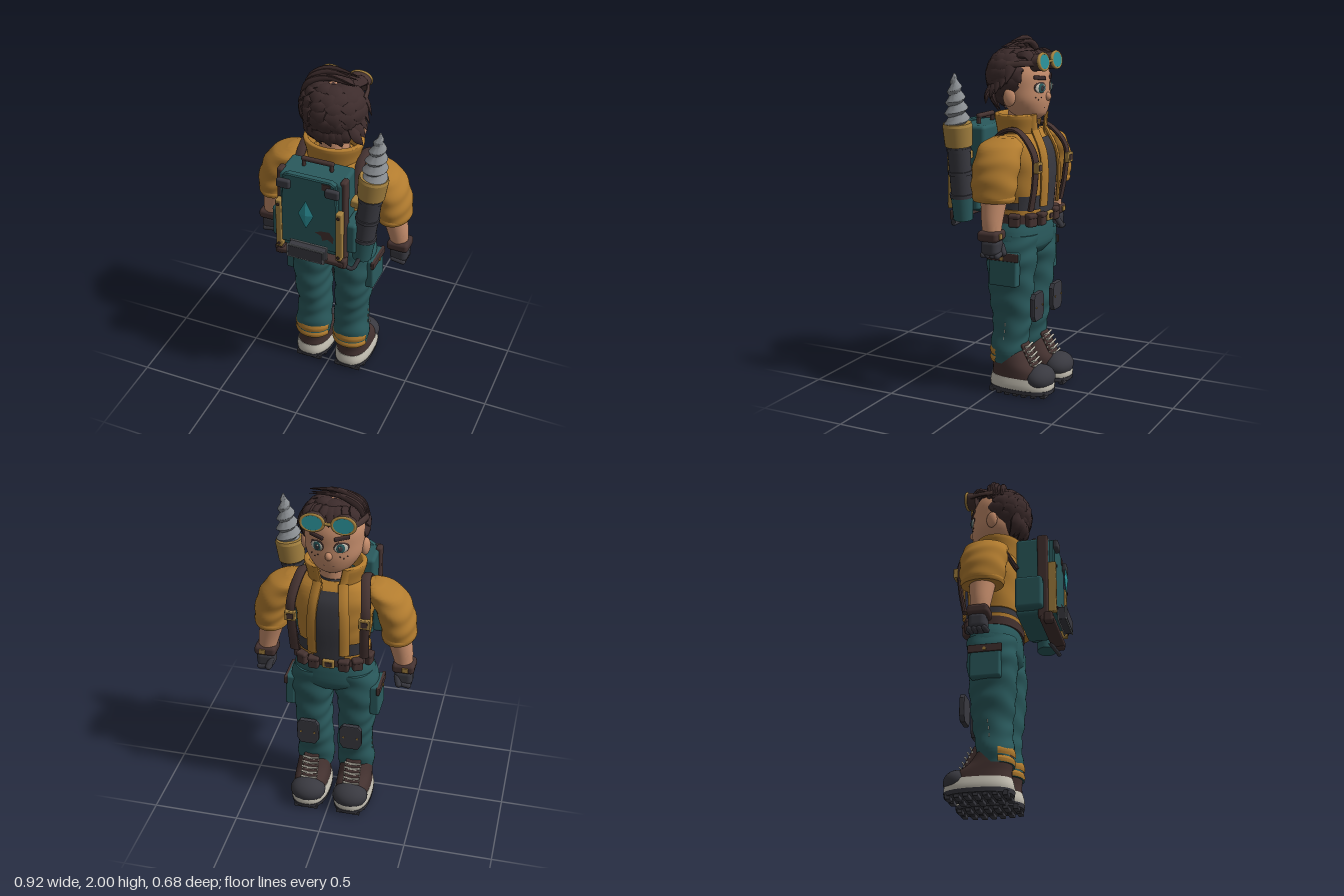
import * as THREE from 'three';
import { toCreasedNormals } from 'three/addons/utils/BufferGeometryUtils.js';
import { RoundedBoxGeometry } from 'three/addons/geometries/RoundedBoxGeometry.js';

const V = (x, y, z) => new THREE.Vector3(x, y, z);
const mat = (name, color) => Object.assign(new THREE.MeshStandardMaterial({ color }), { name });
const hair = mat('hair', 0x3d2c2c), ochre = mat('ochre cloth', 0xb27c2f), teal = mat('teal cloth', 0x2a5a5d);
const skin = mat('skin', 0xc48c6b), coal = mat('charcoal', 0x393940), leather = mat('leather', 0x443230);
const pale = mat('pale rubber', 0xc4bfb2), steel = mat('steel', 0x888c90), glass = mat('glass', 0x2b9098), brass = mat('brass', 0xa3803f);

export function createModel() {
  const root = new THREE.Group();
  let parent = root;
  const add = (name, geo, m, x = 0, y = 0, z = 0, rx = 0, ry = 0, rz = 0) => {
    const o = new THREE.Mesh(geo, m);
    o.name = name; o.position.set(x, y, z); o.rotation.set(rx, ry, rz);
    parent.add(o);
    return o;
  };
  const group = (name) => { parent = new THREE.Group(); parent.name = name; root.add(parent); return parent; };
  const box = (w, h, d, r = 0.012) => new RoundedBoxGeometry(w, h, d, 2, Math.min(r, w / 2.1, h / 2.1, d / 2.1));
  const cyl = (a, b, h, n = 24) => new THREE.CylinderGeometry(a, b, h, n);
  const ball = (x, y, z) => new THREE.SphereGeometry(1, 24, 16).scale(x, y, z);
  const outline = (pts) => new THREE.Shape(pts.map((p) => new THREE.Vector2(...p)));
  const both = (f) => [-1, 1].forEach(f);

  // Skin over rows of ring points, with closed ends if wanted
  const skinRows = (rows, caps, crease = 0.9) => {
    const n = rows[0].length, pos = [], idx = [];
    rows.forEach((r) => r.forEach((p) => pos.push(p.x, p.y, p.z)));
    for (let i = 0; i < rows.length - 1; i++) for (let j = 0; j < n - 1; j++) {
      const a = i * n + j, d = a + n;
      idx.push(a, d, a + 1, d, d + 1, a + 1);
    }
    if (caps) [0, rows.length - 1].forEach((i) => {
      const c = rows[i].reduce((s, p) => s.add(p), V(0, 0, 0)).divideScalar(n), k = pos.length / 3;
      pos.push(c.x, c.y, c.z);
      for (let j = 0; j < n - 1; j++) idx.push(k, i * n + j + (i ? 1 : 0), i * n + j + (i ? 0 : 1));
    });
    const g = new THREE.BufferGeometry();
    g.setAttribute('position', new THREE.Float32BufferAttribute(pos, 3));
    g.setIndex(idx);
    return toCreasedNormals(g, crease);
  };
  // Loft of level ovals; each section is [x, y, z, radiusX, radiusZ]
  const loft = (secs, { e = 1, m = 30, n = 36, a0 = 0, a1 = Math.PI * 2, f = () => 1 } = {}) => {
    const c = new THREE.CatmullRomCurve3(secs.map((s) => V(s[0], s[1], s[2])));
    const r = new THREE.CatmullRomCurve3(secs.map((s) => V(s[3], s[1], s[4])));
    const pw = (v) => Math.sign(v) * Math.abs(v) ** e, rows = [];
    for (let i = 0; i <= m; i++) {
      const p = c.getPoint(i / m), q = r.getPoint(i / m), row = [];
      for (let j = 0; j <= n; j++) {
        const a = a0 + (a1 - a0) * j / n, k = f(p.y, a);
        row.push(V(p.x + q.x * k * pw(Math.cos(a)), p.y, p.z + q.z * k * pw(Math.sin(a))));
      }
      rows.push(row);
    }
    return skinRows(rows, a1 - a0 > 6.2);
  };
  const folds = (amt, freq) => (y, a) => 1 + amt * Math.sin(y * freq + 1.5 * Math.sin(a * 2 + y * 9));
  // Flat band or lock swept along a path, its face turned away from a centre
  const sweep = (pts, w, t, centre, taper = () => 1, m = 10, n = 8) => {
    const curve = new THREE.CatmullRomCurve3(pts), rows = [];
    for (let i = 0; i <= m; i++) {
      const p = curve.getPoint(i / m), tan = curve.getTangent(i / m), k = taper(i / m);
      const out = p.clone().sub(centre), b = tan.clone().cross(out).normalize(), nn = b.clone().cross(tan);
      rows.push([...Array(n + 1).keys()].map((j) => {
        const a = (j + 0.5) / n * Math.PI * 2;
        return p.clone().addScaledVector(b, w * k * Math.cos(a)).addScaledVector(nn, t * k * Math.sin(a));
      }));
    }
    return skinRows(rows, true);
  };

  // Boots
  both((s) => {
    group('boot');
    const x = s * 0.127;
    add('sole', loft([[x, 0.028, -0.145, 0.108, 0.185], [x, 0.06, -0.145, 0.112, 0.19], [x, 0.105, -0.145, 0.103, 0.18]], { e: 0.8, m: 6 }), pale);
    add('outsole', loft([[x, 0.018, -0.145, 0.11, 0.187], [x, 0.042, -0.145, 0.113, 0.191]], { e: 0.8, m: 1 }), coal);
    for (let i = 0; i < 7; i++) {
      const w = [0.07, 0.085, 0.09, 0.09, 0.09, 0.08, 0.06][i];
      both((t) => add('tread', box(w, 0.03, 0.03, 0.004), coal, x + t * (w / 2 + 0.01), 0.015, 0.012 - i * 0.052));
    }
    add('upper', loft([[x, 0.09, -0.14, 0.104, 0.175], [x, 0.14, -0.125, 0.1, 0.155], [x, 0.19, -0.085, 0.096, 0.12], [x, 0.25, -0.06, 0.09, 0.1]], { e: 0.85 }), leather);
    add('toeCap', ball(0.104, 0.072, 0.086), coal, x, 0.1, -0.254);
    add('tongue', box(0.09, 0.16, 0.02), leather, x, 0.22, -0.195, 0.5);
    for (let i = 0; i < 5; i++) both((t) => add('lace', cyl(0.006, 0.006, 0.1, 6), pale, x, 0.165 + i * 0.026, -0.236 + i * 0.014, 0, t * 0.1, Math.PI / 2 + t * 0.25));
  });

  // Trousers
  group('trousers');
  const pad = outline([[-0.04, -0.075], [0.04, -0.075], [0.058, -0.045], [0.058, 0.05], [0.042, 0.072], [-0.042, 0.072], [-0.058, 0.05], [-0.058, -0.045]]);
  both((s) => {
    const x = s * 0.122, ring = (y, h) => [[x, y, -0.055, 0.11, 0.1], [x, y + h / 2, -0.055, 0.115, 0.104], [x, y + h, -0.055, 0.108, 0.099]];
    add('leg', loft([[x, 0.18, -0.055, 0.104, 0.096], [x, 0.27, -0.06, 0.108, 0.1], [s * 0.117, 0.4, -0.075, 0.1, 0.108],
      [s * 0.125, 0.52, -0.075, 0.104, 0.122], [s * 0.13, 0.66, -0.075, 0.11, 0.132], [s * 0.125, 0.8, -0.08, 0.128, 0.14], [s * 0.115, 0.92, -0.085, 0.115, 0.138]], { e: 0.9, m: 70, f: folds(0.03, 52) }), teal);
    add('cuffBand', loft(ring(0.224, 0.044), { m: 8, a0: 0.3, a1: 2.84 }), ochre);
    add('cuffHem', loft(ring(0.182, 0.034), { m: 8, a0: 0.3, a1: 2.84 }), ochre);
    for (let i = 0; i < 5; i++) add('stitch', box(0.008, 0.02, 0.005, 0.002), pale, s * 0.219, 0.25 + i * 0.04, -0.065 - i * 0.004);
    add('thighPocket', box(0.055, 0.19, 0.17), teal, s * 0.244, 0.74, -0.09, 0, 0, s * 0.03);
    add('pocketFlap', box(0.02, 0.045, 0.19, 0.005), leather, s * 0.267, 0.812, -0.09);
    add('pocketStud', cyl(0.01, 0.01, 0.008, 12), brass, s * 0.279, 0.805, -0.09, 0, 0, Math.PI / 2);
    add('kneePad', new THREE.ExtrudeGeometry(pad, { depth: 0.018, bevelSize: 0.006, bevelThickness: 0.006, bevelSegments: 2 }), coal, s * 0.125, 0.515, -0.242);
    both((t) => add('kneeStud', cyl(0.006, 0.006, 0.006, 8), brass, s * 0.125 + t * 0.04, 0.515, -0.249, Math.PI / 2));
  });
  add('hips', loft([[0, 0.8, -0.08, 0.14, 0.115], [0, 0.85, -0.085, 0.232, 0.145], [0, 0.93, -0.085, 0.225, 0.147], [0, 1, -0.085, 0.195, 0.14]], { e: 0.85 }), teal);

  // Torso: shirt, open jacket and collar
  group('torso');
  const cloth = [[0, 1.1, -0.088, 0.198, 0.15], [0, 1.25, -0.09, 0.212, 0.157], [0, 1.38, -0.085, 0.225, 0.15], [0, 1.45, -0.08, 0.19, 0.125], [0, 1.49, -0.075, 0.12, 0.1]];
  const grow = (d) => cloth.slice(0, 4).map((c) => [c[0], c[1], c[2], c[3] + d, c[4] + d]);
  add('shirt', loft([[0, 0.97, -0.085, 0.19, 0.14], [0, 1.06, -0.086, 0.188, 0.142], [0, 1.2, -0.088, 0.19, 0.145]], { e: 0.85 }), coal);
  add('jacket', loft(cloth, { e: 0.85, f: folds(0.01, 50) }), ochre);
  add('shirtFront', loft([[0, 1.03, -0.087, 0.2, 0.155], ...grow(0.008)], { e: 0.85, a0: -1.95, a1: -1.19 }), coal);
  add('shirtHem', loft([[0, 1.06, -0.087, 0.203, 0.155], [0, 1.1, -0.088, 0.205, 0.157], [0, 1.14, -0.089, 0.209, 0.159]], { e: 0.85, m: 6, a0: -2.8, a1: -0.34 }), coal);
  both((s) => {
    add('lapel', sweep([V(s * 0.09, 1.08, -0.252), V(s * 0.092, 1.25, -0.26), V(s * 0.085, 1.38, -0.245), V(s * 0.07, 1.49, -0.19)], 0.03, 0.011, V(0, 1.25, 0)), ochre);
    add('sleeve', loft([[s * 0.358, 1.145, -0.085, 0.086, 0.112], [s * 0.361, 1.16, -0.085, 0.094, 0.12], [s * 0.352, 1.25, -0.085, 0.1, 0.13], [s * 0.312, 1.365, -0.085, 0.104, 0.13],
      [s * 0.265, 1.43, -0.083, 0.096, 0.118], [s * 0.222, 1.468, -0.08, 0.045, 0.065]], { m: 48, f: folds(0.028, 62) }), ochre);
    add('sleeveHem', loft([[s * 0.358, 1.142, -0.085, 0.09, 0.117], [s * 0.36, 1.16, -0.085, 0.096, 0.123], [s * 0.36, 1.178, -0.085, 0.092, 0.118]], { m: 8 }), ochre);
    // Forearm and gloved fist
    add('forearm', loft([[s * 0.395, 0.95, -0.09, 0.046, 0.048], [s * 0.382, 1.04, -0.087, 0.06, 0.058], [s * 0.352, 1.17, -0.085, 0.073, 0.075]]), skin);
    add('wristCuff', box(0.125, 0.058, 0.12, 0.02), leather, s * 0.397, 0.962, -0.09);
    add('cuffBuckle', box(0.035, 0.03, 0.012, 0.004), brass, s * 0.41, 0.962, -0.15);
    add('palm', box(0.105, 0.095, 0.1, 0.03), coal, s * 0.398, 0.9, -0.095);
    for (let i = 0; i < 4; i++) add('finger', new THREE.CapsuleGeometry(0.016, 0.06, 4, 10), coal, s * 0.4, 0.862, -0.055 - i * 0.028, 0, 0, s * 1.4);
    add('thumb', new THREE.CapsuleGeometry(0.018, 0.045, 4, 10), coal, s * 0.37, 0.885, -0.142, 0.5, 0, s * 0.3);
    add('collarEdge', sweep([V(s * 0.055, 1.41, -0.2), V(s * 0.07, 1.5, -0.185), V(s * 0.085, 1.58, -0.185)], 0.022, 0.012, V(0, 1.5, -0.05)), ochre);
  });
  add('collar', loft([[0, 1.42, -0.07, 0.145, 0.115], [0, 1.5, -0.07, 0.155, 0.13], [0, 1.575, -0.07, 0.172, 0.138], [0, 1.58, -0.07, 0.15, 0.122], [0, 1.5, -0.07, 0.125, 0.1]],
    { a0: -1.12, a1: 4.26 }), ochre);
  add('neck', cyl(0.08, 0.09, 0.16), skin, 0, 1.51, -0.08);
  add('shirtNeck', cyl(0.088, 0.105, 0.07), coal, 0, 1.465, -0.082);

  // Belt with pouches
  group('belt');
  add('beltBand', loft([[0, 0.985, -0.085, 0.205, 0.153], [0, 1.035, -0.085, 0.205, 0.153]], { e: 0.85, m: 1 }), leather);
  add('waistTrim', loft([[0, 1.035, -0.085, 0.2, 0.15], [0, 1.06, -0.085, 0.2, 0.15]], { e: 0.85, m: 1 }), ochre);
  add('buckle', box(0.07, 0.055, 0.02), brass, 0, 1.01, -0.248);
  add('buckleInset', box(0.04, 0.028, 0.02, 0.004), leather, 0, 1.01, -0.253);
  both((s) => [[0.085, -0.238, 0], [0.155, -0.21, 0.45], [0.203, -0.13, 1.35]].forEach(([x, z, r]) => {
    add('pouch', box(0.06, 0.07, 0.045), leather, s * x, 1.005, z, 0, -s * r);
    add('pouchFlap', box(0.064, 0.028, 0.052), leather, s * x, 1.03, z, 0, -s * r);
  }));

  // Head and face
  group('head');
  add('skull', loft([[0, 1.545, -0.13, 0.045, 0.05], [0, 1.575, -0.12, 0.1, 0.095], [0, 1.65, -0.1, 0.15, 0.132], [0, 1.72, -0.09, 0.16, 0.14],
    [0, 1.8, -0.085, 0.16, 0.14], [0, 1.88, -0.08, 0.125, 0.105], [0, 1.92, -0.075, 0.05, 0.04]]), skin);
  add('nose', ball(0.02, 0.024, 0.022), skin, 0, 1.672, -0.23);
  add('mouth', box(0.06, 0.008, 0.006, 0.003), leather, 0, 1.615, -0.222);
  both((s) => {
    const eye = (name, rx, ry, m, x, y, z) => add(name, ball(rx, ry, 0.007), m, s * x, y, z, 0, -s * 0.42);
    add('ear', ball(0.022, 0.05, 0.034), skin, s * 0.165, 1.675, -0.08, 0, s * 0.3);
    eye('lashLine', 0.042, 0.033, leather, 0.065, 1.725, -0.215);
    eye('eyeWhite', 0.037, 0.027, pale, 0.065, 1.722, -0.219);
    eye('iris', 0.025, 0.026, teal, 0.063, 1.722, -0.223);
    eye('pupil', 0.014, 0.016, coal, 0.062, 1.722, -0.227);
    eye('eyeGlint', 0.005, 0.006, pale, 0.058, 1.731, -0.231);
    add('brow', box(0.085, 0.022, 0.016, 0.007), hair, s * 0.068, 1.778, -0.215, 0, -s * 0.42, s * 0.12);
    [0, 1, 2].forEach((i) => add('freckle', ball(0.0035, 0.0035, 0.003), leather, s * (0.06 + i * 0.018), 1.672 - (i % 2) * 0.012, -0.223 + i * 0.009));
  });

  // Hair: a cap, overlapping pointed locks and a swept crest
  group('hair');
  const hc = V(0.005, 1.785, -0.048), cap = V(0.16, 0.136, 0.143);
  add('hairCap', ball(cap.x, cap.y, cap.z), hair, hc.x, hc.y, hc.z);
  add('napeHair', ball(0.138, 0.105, 0.098), hair, 0.008, 1.71, -0.012);
  const onHead = (th, az, k) => V(hc.x + cap.x * k * Math.sin(th) * Math.sin(az), hc.y + cap.y * k * Math.cos(th), hc.z + cap.z * k * Math.sin(th) * Math.cos(az));
  const lockTaper = (t) => t < 0.35 ? 0.6 + 1.14 * t : Math.max(0.03, 1 - ((t - 0.35) / 0.65) ** 1.6);
  for (let r = 0; r < 6; r++) {
    const th = 0.15 + r * 0.31, reach = r < 3 ? Math.PI : 1.75 - (r - 3) * 0.08, count = [7, 11, 13, 9, 9, 8][r];
    for (let i = 0; i < count; i++) {
      const az = -reach + 2 * reach * (i + 0.5 * (r % 2)) / (r < 3 ? count : count - 1), j = 0.08 * Math.sin(i * 7.3 + r * 3.1);
      const len = Math.abs(az) > 2 && r > 1 ? 0.35 : 0.75, lift = r > 2 ? 1.16 : 1.1;
      add('lock', sweep([onHead(th, az, 0.97), onHead(th + len * 0.5, az + 0.1 + j, 1.08), onHead(th + len + j, az + 0.22, lift + Math.abs(j))], 0.056, 0.021, hc, lockTaper, 10), hair);
    }
  }
  for (let i = 0; i < 8; i++) {
    const x = -0.115 + i * 0.033;
    add('napeLock', sweep([V(x, 1.73, 0.083 - x * x * 2), V(x * 0.95 + 0.005, 1.66, 0.086 - x * x * 3), V(x * 0.85 + 0.015, 1.585 + 0.02 * (i % 2), 0.045 - x * x * 3)], 0.035, 0.018, hc, lockTaper, 8), hair);
  }
  for (let i = 0; i < 5; i++) {
    const z = -0.1 + i * 0.019, h = 0.02 * Math.sin(i * 1.4);
    add('crestLock', sweep([V(-0.165, 1.83, z), V(-0.13, 1.91 + h * 0.5, z), V(-0.03, 1.965 + h, z - 0.006), V(0.14, 1.955 + h, z + 0.006)], 0.018, 0.023, hc, lockTaper, 12), hair);
  }
  for (let i = 0; i < 5; i++)
    add('sideFlick', sweep([V(0.13, 1.89 - i * 0.035, -0.1 + i * 0.035), V(0.18, 1.82 - i * 0.035, -0.09 + i * 0.035), V(0.212, 1.75 - i * 0.028, -0.08 + i * 0.03)], 0.03, 0.015, hc, lockTaper, 8), hair);
  for (let i = 0; i < 7; i++) {
    const x = -0.126 + i * 0.042;
    add('fringeLock', sweep([V(x * 0.8, 1.9, -0.1), V(x, 1.9, -0.175), V(x * 1.08, 1.84, -0.235 + x * x * 1.6)], 0.036, 0.018, hc, lockTaper, 8), hair);
  }

  // Goggles on the forehead
  group('goggles');
  both((s) => {
    const x = s * 0.083, up = 0.12;
    add('goggleCup', cyl(0.054, 0.056, 0.055).scale(1.15, 1, 0.85), leather, x, 1.862, -0.215, Math.PI / 2 + up);
    add('goggleRim', new THREE.TorusGeometry(0.052, 0.009, 10, 32).scale(1.15, 0.85, 1), brass, x, 1.866, -0.244, up);
    add('lens', cyl(0.048, 0.048, 0.008).scale(1.15, 1, 0.85), glass, x, 1.866, -0.247, Math.PI / 2 + up);
    add('goggleStrap', sweep([V(s * 0.135, 1.862, -0.215), V(s * 0.16, 1.858, -0.15), V(s * 0.172, 1.85, -0.07)], 0.018, 0.008, hc), leather);
  });
  add('goggleBridge', box(0.04, 0.016, 0.016, 0.006), brass, 0, 1.865, -0.245);

  // Backpack
  group('backpack');
  add('packBody', box(0.37, 0.48, 0.19, 0.02), teal, 0, 1.27, 0.16);
  const plate = outline([[-0.175, 1.08], [0.175, 1.08], [0.145, 1.5], [0.12, 1.515], [-0.12, 1.515], [-0.145, 1.5]]);
  add('backPlate', new THREE.ExtrudeGeometry(plate, { depth: 0.03, bevelSize: 0.006, bevelThickness: 0.006, bevelSegments: 1 }), teal, 0, 0, 0.245);
  const patch = outline([[0.035, 1.185], [0.07, 1.2], [0.12, 1.205], [0.145, 1.17], [0.14, 1.135], [0.11, 1.155], [0.08, 1.14], [0.07, 1.17]]);
  add('wornPatch', new THREE.ShapeGeometry(patch), leather, 0, 0, 0.283);
  add('cornerPatch', box(0.05, 0.04, 0.006, 0.002), leather, 0.1, 1.49, 0.282);
  add('crystal', new THREE.OctahedronGeometry(1).scale(0.045, 0.09, 0.012), glass, 0, 1.315, 0.32);
  both((s) => {
    add('framePost', box(0.035, 0.52, 0.06), leather, s * 0.182, 1.26, 0.22);
    add('brassRail', box(0.034, 0.31, 0.045, 0.006), brass, s * 0.175, 1.19, 0.272);
    [1.06, 1.32].forEach((y) => add('railBolt', cyl(0.009, 0.009, 0.01, 10), leather, s * 0.175, y, 0.296, Math.PI / 2));
    add('cornerClip', box(0.08, 0.055, 0.03), coal, s * 0.14, 1.465, 0.292);
    add('sidePouch', box(0.07, 0.19, 0.155, 0.018), teal, s * 0.212, 1.145, 0.147);
    add('footClip', box(0.05, 0.06, 0.05), leather, s * 0.185, 1.0, 0.25);
    add('handlePost', box(0.02, 0.05, 0.025), leather, s * 0.08, 1.53, 0.153);
    // Shoulder strap with chest buckle
    add('shoulderStrap', sweep([V(s * 0.195, 1.07, -0.225), V(s * 0.2, 1.22, -0.25), V(s * 0.205, 1.38, -0.248), V(s * 0.18, 1.5, -0.13), V(s * 0.175, 1.475, -0.03), V(s * 0.17, 1.32, 0.075)],
      0.028, 0.014, V(s * 0.18, 1.25, -0.08), undefined, 30), leather);
    add('strapBuckle', box(0.062, 0.058, 0.026, 0.005), brass, s * 0.203, 1.31, -0.272);
    add('buckleCore', box(0.038, 0.034, 0.014, 0.004), leather, s * 0.203, 1.31, -0.281);
  });
  add('handle', box(0.19, 0.026, 0.028), leather, 0, 1.553, 0.153);
  add('lowerBar', box(0.4, 0.035, 0.08), leather, 0, 0.998, 0.24);
  add('tray', box(0.21, 0.075, 0.054, 0.006), coal, 0, 1.062, 0.311);
  [0.288, 0.333].forEach((z) => add('trayRim', box(0.222, 0.086, 0.007, 0.003), steel, 0, 1.062, z));
  add('trayFace', box(0.206, 0.07, 0.006, 0.002), coal, 0, 1.062, 0.336);
  add('hose', new THREE.TubeGeometry(new THREE.CatmullRomCurve3([V(0.1, 0.985, 0.2), V(0.17, 0.97, 0.22), V(0.235, 0.96, 0.235), V(0.265, 1.02, 0.2)]), 16, 0.012, 8), coal);

  // Drill slung beside the pack
  const drill = group('drill');
  drill.position.set(0.26, 1.0, 0.156);
  drill.rotation.z = -0.11;
  add('drillBase', cyl(0.062, 0.054, 0.14), teal, 0, 0.07, 0);
  add('drillBody', cyl(0.064, 0.058, 0.31), coal, 0, 0.28, 0);
  [0.14, 0.27, 0.4].forEach((y) => add('drillRing', cyl(0.067, 0.067, 0.02), coal, 0, y, 0));
  add('drillCollar', cyl(0.082, 0.075, 0.11), brass, 0, 0.475, 0);
  add('collarLip', cyl(0.076, 0.082, 0.016), brass, 0, 0.538, 0);
  add('drillBit', loft([[0, 0.54, 0, 0.068, 0.068], [0, 0.64, 0, 0.057, 0.057], [0, 0.74, 0, 0.036, 0.036], [0, 0.815, 0, 0.006, 0.006]],
    { m: 80, f: (y, a) => { const p = y * 17 + a / (Math.PI * 2), u = p - Math.floor(p); return 0.72 + 0.38 * Math.min((1 - u) / 0.65, u / 0.35); } }), steel);
  add('drillBracket', box(0.1, 0.05, 0.07), brass, -0.05, 0.35, 0);
  return root;
}
